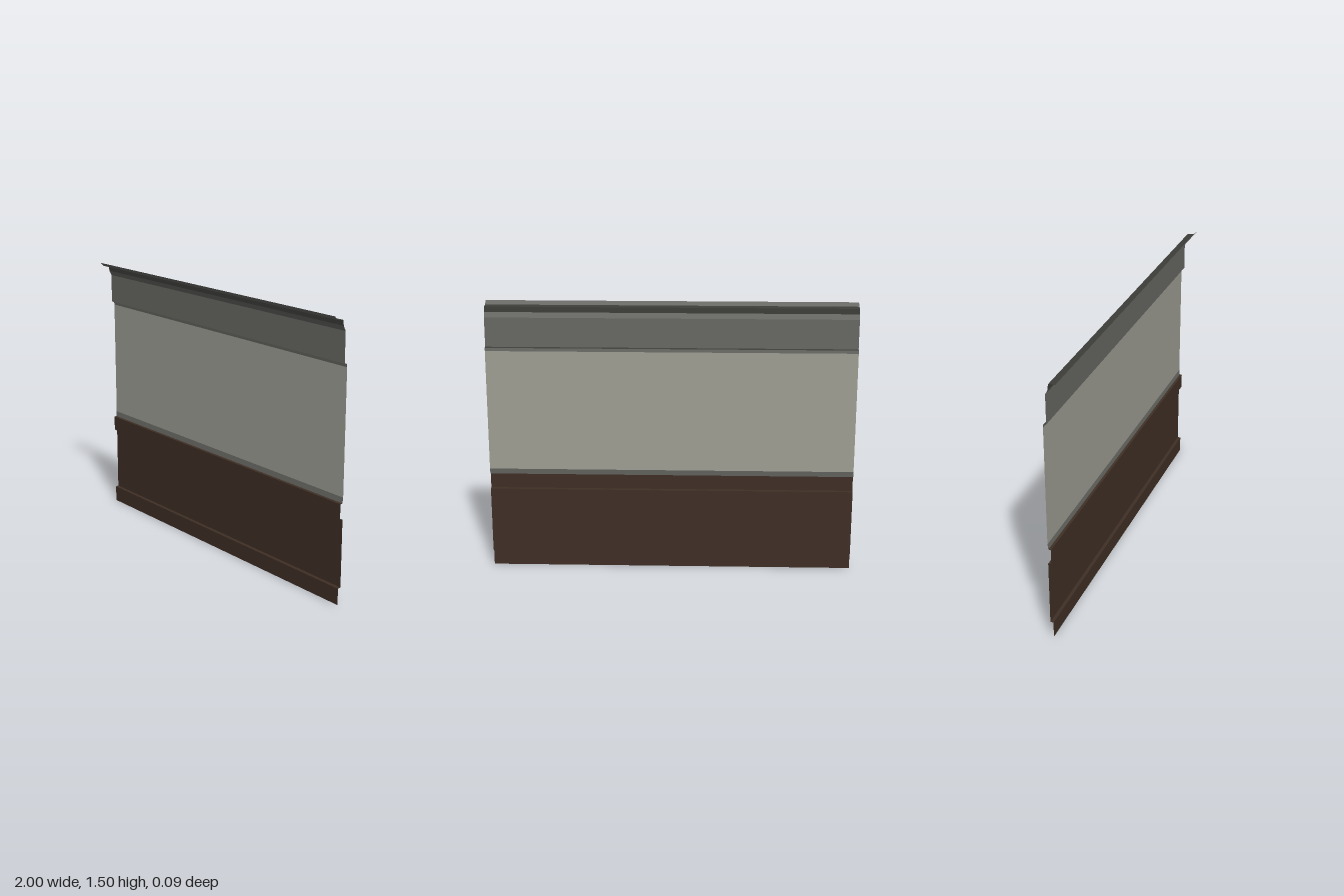
import * as THREE from 'three';

const paint = (name, color) => {
  const m = new THREE.MeshStandardMaterial({ color, side: THREE.DoubleSide });
  m.name = name;
  return m;
};

export function createModel() {
  const brown = paint('dark brown wood', 0x3f2f25);
  const grey = paint('grey trim', 0x686864);
  const dark = paint('dark grey moulding', 0x3d3d39);
  const plaster = paint('pale grey plaster', 0x9f9f95);

  const group = new THREE.Group();
  group.name = 'wallPanel';
  const width = 2;

  // Thin sheet spanning the full width between two profile points [z, y]
  const strip = (name, material, [z0, y0], [z1, y1]) => {
    const dz = z1 - z0, dy = y1 - y0;
    const mesh = new THREE.Mesh(new THREE.PlaneGeometry(width, Math.hypot(dz, dy)), material);
    mesh.name = name;
    mesh.rotation.x = Math.atan2(dz, dy);
    mesh.position.set(0, (y0 + y1) / 2, (z0 + z1) / 2);
    group.add(mesh);
  };

  // Wall section followed from the floor upwards: each entry ends at [z, y]
  const back = -0.045, front = -0.028;
  let from = [front, 0];
  const section = [
    ['baseboard', brown, [front, 0.09]],
    ['baseboardLedge', brown, [back, 0.092]],
    ['lowerPanel', brown, [back, 0.458]],
    ['railUnderside', brown, [front, 0.46]],
    ['chairRail', brown, [front, 0.543]],
    ['railLedge', brown, [back + 0.004, 0.545]],
    ['lowerTrim', grey, [back, 0.575]],
    ['upperPanel', plaster, [back, 1.24]],
    ['upperTrim', grey, [back + 0.002, 1.257]],
    ['friezeUnderside', dark, [front, 1.26]],
    ['frieze', grey, [front, 1.42]],
    ['crownCove', grey, [-0.014, 1.447]],
    ['crownBand', dark, [-0.012, 1.476]],
    ['crownSoffit', dark, [0.025, 1.48]],
    ['crownLip', grey, [0.045, 1.5]],
  ];
  for (const [name, material, to] of section) {
    strip(name, material, from, to);
    from = to;
  }
  return group;
}
